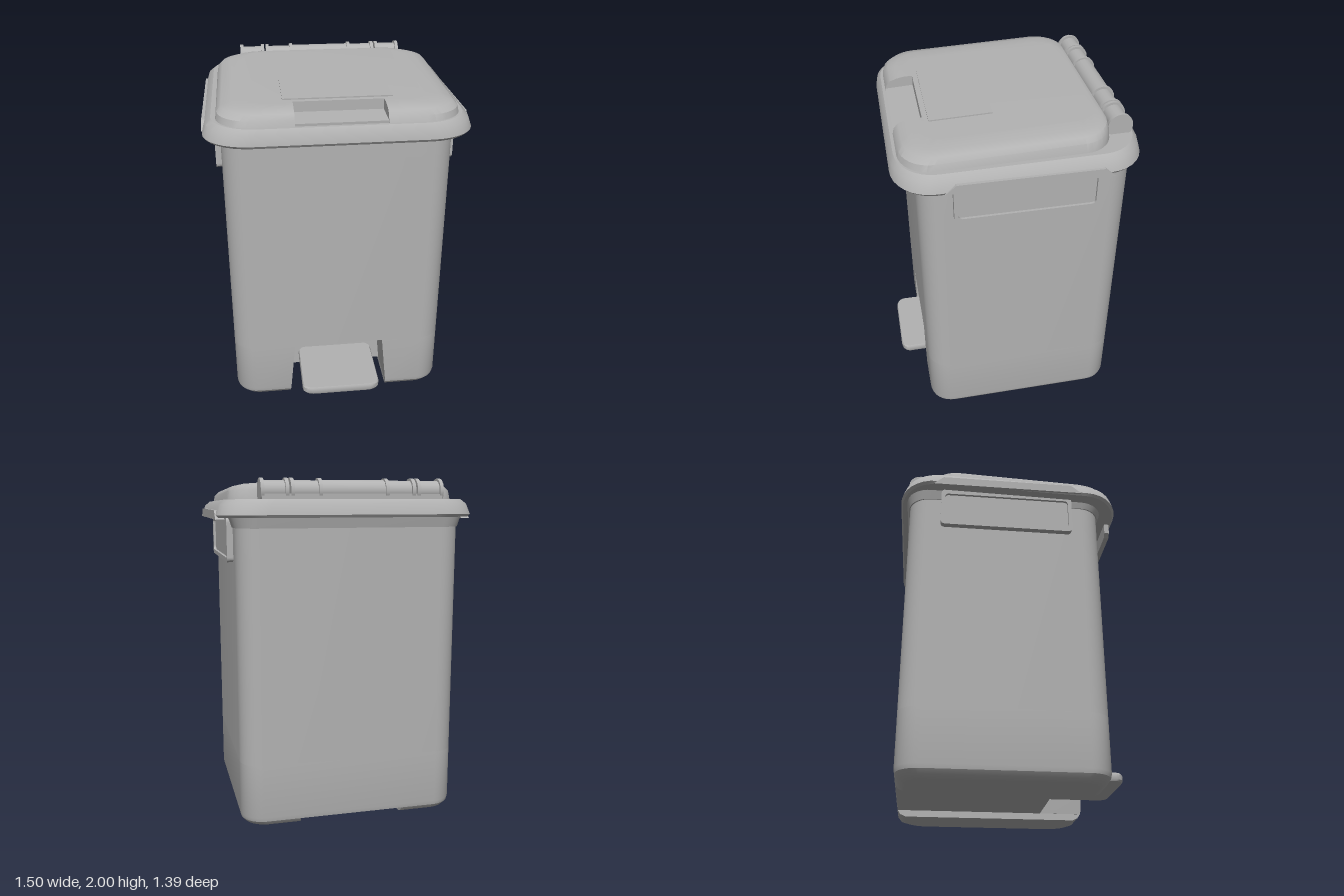
import * as THREE from 'three';
import { toCreasedNormals } from 'three/addons/utils/BufferGeometryUtils.js';

const plastic = new THREE.MeshStandardMaterial({ color: 0xb2b2b2 });
plastic.name = 'grey plastic';

// Rounded rectangle at height y; tilt lowers the front, notch = [halfWidth, depthZ] cuts into the front edge
function ring(y, hw, zf, zb, rx, rz, { tilt = 0, notch = null } = {}) {
  const pts = [];
  const corners = [[1, zf - rz], [1, zb + rz], [-1, zb + rz], [-1, zf - rz]];
  corners.forEach(([sx, cz], k) => {
    for (let i = 0; i <= 8; i++) {
      const t = (k + i / 8) * Math.PI / 2;
      pts.push([sx * (hw - rx) + rx * Math.sin(t), cz + rz * Math.cos(t)]);
    }
  });
  if (notch) {
    const [w, d] = notch;
    pts.push([-w, zf], [-w, d], [w, d], [w, zf]);
  }
  return pts.map(([x, z]) => new THREE.Vector3(x, y - tilt * z, z));
}

// Skin a stack of equal-length rings from bottom to top
function loft(rings, bottom = true, top = true) {
  const pos = [];
  const tri = (...v) => v.forEach((p) => pos.push(p.x, p.y, p.z));
  const n = rings[0].length;
  for (let k = 0; k < rings.length - 1; k++) {
    const lo = rings[k], hi = rings[k + 1];
    for (let i = 0; i < n; i++) {
      const j = (i + 1) % n;
      tri(lo[i], lo[j], hi[j]);
      tri(lo[i], hi[j], hi[i]);
    }
  }
  const cap = (r, up) => {
    const flat = r.map((p) => new THREE.Vector2(p.x, -p.z));
    for (const [a, b, c] of THREE.ShapeUtils.triangulateShape(flat, [])) {
      if (up) tri(r[a], r[b], r[c]); else tri(r[a], r[c], r[b]);
    }
  };
  if (bottom) cap(rings[0], false);
  if (top) cap(rings[rings.length - 1], true);
  const g = new THREE.BufferGeometry();
  g.setAttribute('position', new THREE.Float32BufferAttribute(pos, 3));
  return toCreasedNormals(g, 0.6);
}

function roundedRect(Path, x0, x1, y0, y1, r) {
  const p = new Path();
  p.moveTo(x0 + r, y0).lineTo(x1 - r, y0).quadraticCurveTo(x1, y0, x1, y0 + r);
  p.lineTo(x1, y1 - r).quadraticCurveTo(x1, y1, x1 - r, y1);
  p.lineTo(x0 + r, y1).quadraticCurveTo(x0, y1, x0, y1 - r);
  p.lineTo(x0, y0 + r).quadraticCurveTo(x0, y0, x0 + r, y0);
  return p;
}

export function createModel() {
  const model = new THREE.Group();
  const add = (name, geometry, x = 0, y = 0, z = 0, parent = model) => {
    const m = new THREE.Mesh(geometry, plastic);
    m.name = name;
    m.position.set(x, y, z);
    parent.add(m);
    return m;
  };
  const box = (name, w, h, d, x, y, z) => add(name, new THREE.BoxGeometry(w, h, d), x, y, z);

  // Bin body: plain upper shell, lower shell with the pedal opening
  const bodyRing = (y, inset = 0, notch = null) =>
    ring(y, 0.65 - inset, 0.545 - inset, -0.63 + inset, 0.13, 0.13, { notch });
  add('bodyShell', loft([bodyRing(0.385), bodyRing(1.8)]));
  add('bodyBase', loft([
    bodyRing(0.045, 0.005, [0.308, 0.28]),
    bodyRing(0.07, 0, [0.305, 0.28]),
    bodyRing(0.385, 0, [0.275, 0.28]),
  ], true, false));
  add('bodyCollar', loft([
    ring(1.73, 0.655, 0.55, -0.635, 0.13, 0.13),
    ring(1.79, 0.675, 0.58, -0.65, 0.15, 0.15),
  ]));

  // Feet on both sides of the channel underneath
  const footRing = (y, inset, side) => {
    const right = bodyRing(y, inset).slice(0, 18);
    right.unshift(new THREE.Vector3(0.31, y, 0.545 - inset));
    right.push(new THREE.Vector3(0.31, y, -0.63 + inset));
    return side > 0 ? right : right.map((p) => new THREE.Vector3(-p.x, p.y, p.z)).reverse();
  };
  for (const side of [1, -1]) {
    add(side > 0 ? 'leftFoot' : 'rightFoot', loft([
      footRing(0.005, 0.055, side), footRing(0.02, 0.022, side), footRing(0.045, 0.005, side),
    ], true, false));
  }

  // Foot pedal
  add('pedal', loft([
    ring(0.12, 0.235, 0.695, 0.27, 0.07, 0.05),
    ring(0.13, 0.24, 0.7, 0.27, 0.07, 0.05),
    ring(0.16, 0.24, 0.7, 0.27, 0.07, 0.05),
    ring(0.17, 0.235, 0.695, 0.27, 0.07, 0.05),
  ]));

  // Overhanging rim
  const rimTilt = { tilt: 0.018 };
  add('rim', loft([
    ring(1.775, 0.735, 0.66, -0.68, 0.26, 0.22, rimTilt),
    ring(1.79, 0.745, 0.67, -0.69, 0.26, 0.22, rimTilt),
    ring(1.85, 0.725, 0.66, -0.675, 0.26, 0.22, rimTilt),
    ring(1.875, 0.695, 0.64, -0.655, 0.25, 0.21, rimTilt),
  ]));

  // Lid with a grip recess at the front
  const lidTilt = { tilt: 0.036, notch: [0.25, 0.46] };
  add('lid', loft([
    ring(1.86, 0.672, 0.63, -0.52, 0.2, 0.17, lidTilt),
    ring(1.92, 0.66, 0.615, -0.515, 0.2, 0.17, lidTilt),
    ring(1.945, 0.635, 0.59, -0.51, 0.2, 0.17, lidTilt),
    ring(1.957, 0.58, 0.55, -0.5, 0.19, 0.16, lidTilt),
    ring(1.963, 0.5, 0.51, -0.48, 0.17, 0.14, lidTilt),
  ]));
  box('gripLedge', 0.5, 0.04, 0.17, 0, 1.863, 0.535).rotation.x = 0.06;
  box('lidPanel', 0.61, 0.01, 0.35, 0, 1.956, 0.255).rotation.x = 0.036;

  // Front lip hanging from the rim
  const lip = new THREE.Shape();
  lip.moveTo(-0.43, 1.675).lineTo(0.43, 1.675).lineTo(0.455, 1.7);
  lip.lineTo(0.46, 1.78).lineTo(-0.46, 1.78).lineTo(-0.455, 1.7);
  add('frontLip', new THREE.ExtrudeGeometry(lip, { depth: 0.03, bevelEnabled: false }), 0, 0, 0.62);

  // Side handles: raised frame around an inset panel
  for (const side of [1, -1]) {
    const [u0, u1] = side > 0 ? [-0.36, 0.44] : [-0.44, 0.36];
    const frame = roundedRect(THREE.Shape, u0, u1, 1.535, 1.785, 0.03);
    frame.holes.push(roundedRect(THREE.Path, u0 + 0.022, u1 - 0.022, 1.56, 1.755, 0.025));
    const handle = new THREE.Group();
    handle.name = side > 0 ? 'leftHandle' : 'rightHandle';
    handle.rotation.y = side * Math.PI / 2;
    model.add(handle);
    add('handleFrame', new THREE.ExtrudeGeometry(frame, { depth: 0.045, bevelEnabled: false }), 0, 0, 0.64, handle);
    const panel = roundedRect(THREE.Shape, u0 + 0.01, u1 - 0.01, 1.545, 1.775, 0.03);
    add('handlePanel', new THREE.ExtrudeGeometry(panel, { depth: 0.025, bevelEnabled: false }), 0, 0, 0.645, handle);

    // Thickened rim above the handle
    const brow = new THREE.Shape();
    const m = (u0 + u1) / 2;
    brow.moveTo(m - 0.45, 1.775).lineTo(m + 0.45, 1.775).lineTo(m + 0.39, 1.825).lineTo(m - 0.39, 1.825);
    add('handleBrow', new THREE.ExtrudeGeometry(brow, { depth: 0.05, bevelEnabled: false }), 0, 0, 0.7, handle);
  }

  // Hinge along the back: knuckle plates joined by barrels
  const roll = (name, x0, x1, r) => {
    const g = new THREE.CylinderGeometry(r, r, x1 - x0, 20);
    g.rotateZ(Math.PI / 2);
    add(name, g, (x0 + x1) / 2, 1.93, -0.575);
  };
  box('hingeBase', 1.03, 0.07, 0.13, 0, 1.88, -0.575);
  roll('hingeCentreBarrel', -0.18, 0.18, 0.06);
  for (const s of [1, -1]) {
    for (const x of [0.19, 0.345, 0.375, 0.51]) roll('hingePlate', s * x - 0.01, s * x + 0.01, 0.07);
    for (const [a, b] of [[0.2, 0.335], [0.385, 0.5]]) {
      roll('hingeBarrel', Math.min(s * a, s * b), Math.max(s * a, s * b), 0.057);
    }
  }
  return model;
}
